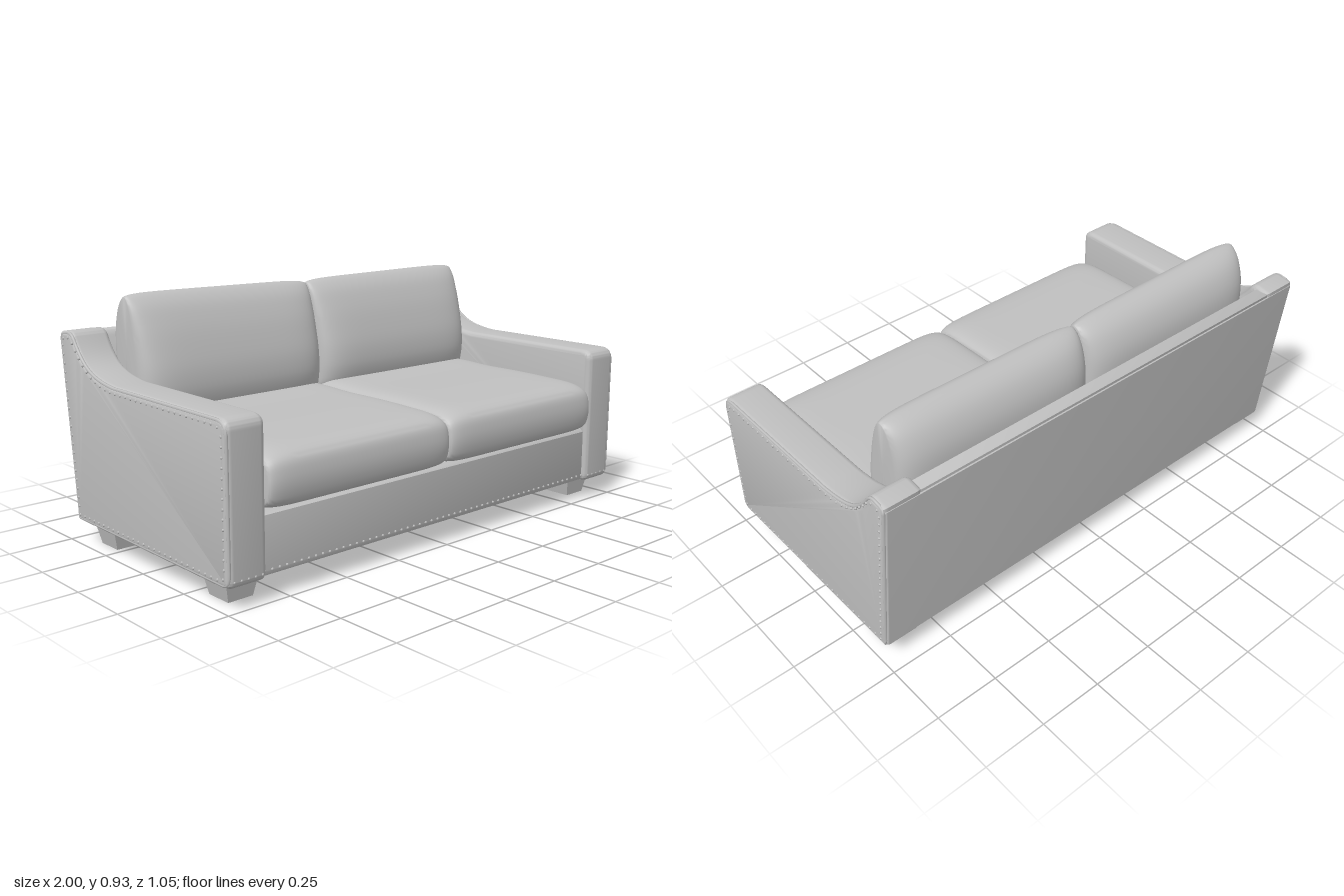
import * as THREE from 'three';
import { mergeGeometries, toCreasedNormals } from 'three/addons/utils/BufferGeometryUtils.js';

const fabric = new THREE.MeshStandardMaterial({ color: 0xc0c0c0 });
fabric.name = 'grey fabric';

function add(parent, name, geometry, x = 0, y = 0, z = 0) {
  const mesh = new THREE.Mesh(geometry, fabric);
  mesh.name = name;
  mesh.position.set(x, y, z);
  parent.add(mesh);
  return mesh;
}

// Extrudes a (z, y) outline along x, centred on x = 0, with rounded edges.
function extrudeAcross(shape, width, bevel) {
  const depth = width - 2 * bevel;
  const geo = new THREE.ExtrudeGeometry(shape, {
    depth, curveSegments: 14, bevelEnabled: true, bevelSegments: 5,
    bevelSize: bevel, bevelThickness: bevel, bevelOffset: -bevel,
  });
  geo.translate(0, 0, -depth / 2).rotateY(-Math.PI / 2);
  return toCreasedNormals(geo, 0.6);
}

function polygon(points) {
  return new THREE.Shape(points.map(([z, y]) => new THREE.Vector2(z, y)));
}

// Lofts a closed counter-clockwise (z, y) profile along x; place(p, u) shapes each section.
function loftCushion(points, width, place) {
  const curve = new THREE.CatmullRomCurve3(points.map(([z, y]) => new THREE.Vector3(0, y, z)), true, 'centripetal');
  const profile = curve.getPoints(56).slice(0, -1);
  const n = profile.length, steps = 36, pos = [], index = [];
  for (let i = 0; i <= steps; i++) {
    const u = -Math.cos((Math.PI * i) / steps);
    for (const p of profile) {
      const [z, y] = place(p, u);
      pos.push((u * width) / 2, y, z);
    }
  }
  for (let i = 0; i < steps; i++) {
    for (let j = 0; j < n; j++) {
      const a = i * n + j, b = i * n + ((j + 1) % n);
      index.push(a, a + n, b, b, a + n, b + n);
    }
  }
  // End caps
  for (const end of [0, steps]) {
    const c = pos.length / 3, start = end * n;
    let y = 0, z = 0;
    for (let j = 0; j < n; j++) {
      y += pos[(start + j) * 3 + 1] / n;
      z += pos[(start + j) * 3 + 2] / n;
      const a = start + j, b = start + ((j + 1) % n);
      index.push(c, ...(end ? [b, a] : [a, b]));
    }
    pos.push((end ? width : -width) / 2, y, z);
  }
  const geo = new THREE.BufferGeometry();
  geo.setAttribute('position', new THREE.Float32BufferAttribute(pos, 3));
  geo.setIndex(index);
  return toCreasedNormals(geo, 0.7);
}

// How far a section is pulled in: 0 in the middle, 1 at the ends.
const pinch = (u, power) => 1 - Math.sqrt(Math.max(0, 1 - Math.abs(u) ** power));

// Side outline of an arm, optionally inset by d for piping and studs.
function armShape(d = 0) {
  const s = new THREE.Shape();
  s.moveTo(-0.453 + d, 0.088 + d);
  s.lineTo(0.475 - d, 0.078 + d);
  s.quadraticCurveTo(0.498 - d, 0.08 + d, 0.498 - d, 0.11 + d);
  s.lineTo(0.5 - d, 0.59 - d);
  s.quadraticCurveTo(0.5 - d, 0.632 - d, 0.45 - d, 0.632 - d);
  s.lineTo(-0.16, 0.636 - d);
  s.bezierCurveTo(-0.33 + d, 0.65 - d, -0.375 + d, 0.69 - d, -0.425, 0.772 - d);
  s.quadraticCurveTo(-0.438, 0.797 - d, -0.465, 0.797 - d);
  s.lineTo(-0.522 + d, 0.789 - d);
  s.closePath();
  return s;
}

function studs(points, radius = 0.0055) {
  return mergeGeometries(points.map((p) => new THREE.SphereGeometry(radius, 6, 4).translate(p.x, p.y, p.z)));
}

export function createModel() {
  const sofa = new THREE.Group();
  sofa.name = 'sofa';

  // Base and front rail
  add(sofa, 'base', extrudeAcross(polygon([[-0.44, 0.09], [0.47, 0.083], [0.478, 0.1], [0.478, 0.29], [0.46, 0.305], [-0.4, 0.305]]), 1.74, 0.008));
  const railStuds = [];
  for (let i = 0; i <= 54; i++) railStuds.push(new THREE.Vector3(-0.837 + i * 0.031, 0.102, 0.478));
  add(sofa, 'railStuds', studs(railStuds));

  // Leaning backrest and its flush outer panel
  add(sofa, 'backrest', extrudeAcross(polygon([[-0.448, 0.09], [-0.3, 0.09], [-0.37, 0.4], [-0.45, 0.765], [-0.465, 0.784], [-0.518, 0.784]]), 1.7, 0.008));
  add(sofa, 'backPanel', extrudeAcross(polygon([[-0.456, 0.095], [-0.43, 0.095], [-0.495, 0.772], [-0.523, 0.772]]), 1.97, 0.006));

  // Arms with piping and studs along the outer edge
  const arm = extrudeAcross(armShape(), 0.156, 0.022);
  const path = armShape(0.009).getSpacedPoints(160).slice(0, -1);
  const studPath = armShape(0.024).getSpacedPoints(92).slice(0, -1);
  for (const side of [-1, 1]) {
    const group = new THREE.Group();
    group.name = side > 0 ? 'leftArm' : 'rightArm';
    sofa.add(group);
    add(group, 'armBody', arm, side * 0.917);
    const pipe = new THREE.CatmullRomCurve3(path.map((p) => new THREE.Vector3(side * 0.987, p.y, p.x)), true);
    add(group, 'armPiping', new THREE.TubeGeometry(pipe, 200, 0.007, 6, true));
    add(group, 'armStuds', studs(studPath.map((p) => new THREE.Vector3(side * 0.9945, p.y, p.x))));
    const frontStuds = [];
    for (let i = 0; i < 5; i++) frontStuds.push(new THREE.Vector3(side * (0.86 + i * 0.028), 0.102, 0.496));
    add(group, 'armFrontStuds', studs(frontStuds));
  }

  // Seat and back cushions
  const seatProfile = [[-0.3, 0.302], [0.1, 0.3], [0.46, 0.302], [0.507, 0.32], [0.522, 0.36], [0.524, 0.42],
    [0.508, 0.472], [0.46, 0.498], [0.3, 0.511], [0, 0.515], [-0.28, 0.505], [-0.33, 0.4]];
  const backProfile = [[-0.19, 0.49], [-0.163, 0.55], [-0.162, 0.64], [-0.185, 0.74], [-0.215, 0.825], [-0.255, 0.898],
    [-0.3, 0.933], [-0.345, 0.925], [-0.39, 0.89], [-0.425, 0.82], [-0.435, 0.73], [-0.42, 0.6], [-0.37, 0.49]];
  for (const side of [-1, 1]) {
    const label = side > 0 ? 'left' : 'right';
    add(sofa, label + 'SeatCushion', loftCushion(seatProfile, 0.834, (p, u) => {
      const e = pinch(u, 10);
      return [0.1 + (p.z - 0.1) * (1 - 0.06 * e), 0.37 + (p.y - 0.37) * (1 - 0.22 * e)];
    }), side * 0.419);
    add(sofa, label + 'BackCushion', loftCushion(backProfile, 0.842, (p, u) => {
      const e = pinch(u, 7);
      const sag = 1 - 0.012 * (1 - side * u) - 0.035 * e;
      return [-0.31 + (p.z + 0.31) * (1 - 0.55 * e), 0.49 + (p.y - 0.49) * sag];
    }), side * 0.424);
  }

  // Tapered feet
  const foot = new THREE.BoxGeometry(0.145, 0.1, 0.14);
  const v = foot.attributes.position;
  for (let i = 0; i < v.count; i++) {
    if (v.getY(i) < 0) v.setXYZ(i, v.getX(i) * 0.69, v.getY(i), v.getZ(i) * 0.75);
  }
  foot.computeVertexNormals();
  for (const x of [-0.887, 0.887]) {
    add(sofa, 'frontFoot', foot, x, 0.05, 0.359);
    add(sofa, 'backFoot', foot, x, 0.05, -0.328);
  }
  return sofa;
}
